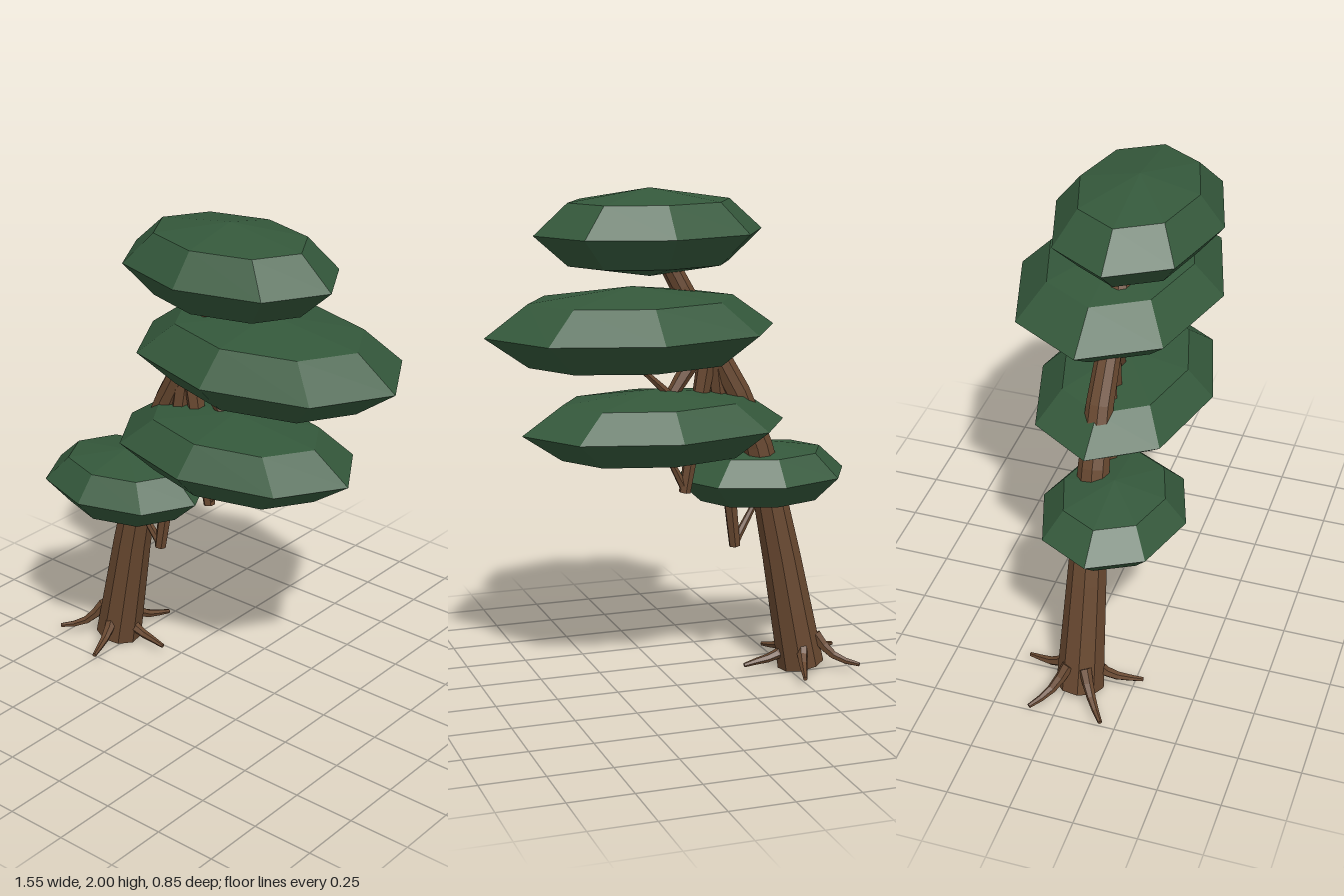
import * as THREE from 'three';

const bark = new THREE.MeshStandardMaterial({ name: 'bark brown', color: 0x684830, flatShading: true });
const leaf = new THREE.MeshStandardMaterial({ name: 'pine green', color: 0x34583b, flatShading: true });

// Tapered, capped limb swept along a smooth path; radii are spread evenly along it
function limb(name, path, radii, sides, steps) {
  const curve = new THREE.CatmullRomCurve3(path.map((p) => new THREE.Vector3(...p)));
  const geometry = new THREE.CylinderGeometry(1, 1, 1, sides, steps);
  const pos = geometry.attributes.position;
  const up = new THREE.Vector3(0, 1, 0);
  const turn = new THREE.Quaternion();
  const v = new THREE.Vector3();
  for (let i = 0; i < pos.count; i++) {
    const t = THREE.MathUtils.clamp(pos.getY(i) + 0.5, 0, 1);
    const k = t * (radii.length - 1);
    const a = Math.min(Math.floor(k), radii.length - 2);
    const r = THREE.MathUtils.lerp(radii[a], radii[a + 1], k - a);
    turn.setFromUnitVectors(up, curve.getTangentAt(t));
    v.set(pos.getX(i) * r, 0, pos.getZ(i) * r).applyQuaternion(turn).add(curve.getPointAt(t));
    pos.setXYZ(i, v.x, v.y, v.z);
  }
  geometry.computeVertexNormals();
  const mesh = new THREE.Mesh(geometry, bark);
  mesh.name = name;
  return mesh;
}

export function createModel() {
  const tree = new THREE.Group();
  tree.name = 'leaningTree';

  // Leaning trunk
  tree.add(limb('trunk', [
    [-0.56, 0.022, 0.05], [-0.43, 0.68, 0.05], [-0.355, 0.97, 0.045],
    [-0.26, 1.2, 0.04], [-0.15, 1.4, 0.045], [-0.01, 1.66, 0.05], [0.08, 1.83, 0.06],
  ], [0.097, 0.082, 0.068, 0.055, 0.045, 0.038], 9, 8));

  // Five roots splayed around the base
  for (let i = 0; i < 5; i++) {
    const a = (i * Math.PI * 2) / 5;
    const at = (r, y) => [-0.56 + r * Math.cos(a), y, 0.05 + r * Math.sin(a)];
    const dip = -0.025 * Math.cos(a);
    tree.add(limb('root', [at(0.06, 0.13 + dip), at(0.115, 0.075 + dip / 2), at(0.17, 0.053), at(0.25, 0.037)],
      [0.026, 0.021, 0.015, 0.009], 6, 4));
  }

  // Drooping branches, each with a thin twig rising from its tip
  const branches = [
    { from: [-0.17, 1.37, 0.04], tip: [-0.28, 0.54, 0.09], twig: [-0.41, 0.76, 0.12] },
    { from: [-0.15, 1.39, 0.045], tip: [-0.05, 0.79, 0.05], twig: [0.06, 1.02, 0.045] },
    { from: [-0.13, 1.4, 0.045], tip: [0.02, 1.18, 0.03], twig: [0.18, 1.34, 0.0] },
  ];
  for (const { from, tip, twig } of branches) {
    tree.add(limb('branch', [from, tip], [0.04, 0.024], 6, 1));
    const start = [tip[0], tip[1] + 0.015, tip[2]];
    tree.add(limb('twig', [start, twig], [0.018, 0.01], 6, 1));
  }

  // Flattened, faceted foliage pads: centre and half sizes
  const pads = [
    [[-0.41, 0.822, 0.143], [0.365, 0.138, 0.283]],
    [[0.075, 1.067, 0.04], [0.54, 0.153, 0.35]],
    [[0.188, 1.464, -0.018], [0.582, 0.172, 0.408]],
    [[0.083, 1.829, 0.083], [0.465, 0.171, 0.326]],
  ];
  for (const [centre, size] of pads) {
    const pad = new THREE.Mesh(new THREE.SphereGeometry(1, 8, 4).scale(...size), leaf);
    pad.geometry.computeVertexNormals();
    pad.position.set(...centre);
    pad.name = 'foliagePad';
    tree.add(pad);
  }
  return tree;
}
